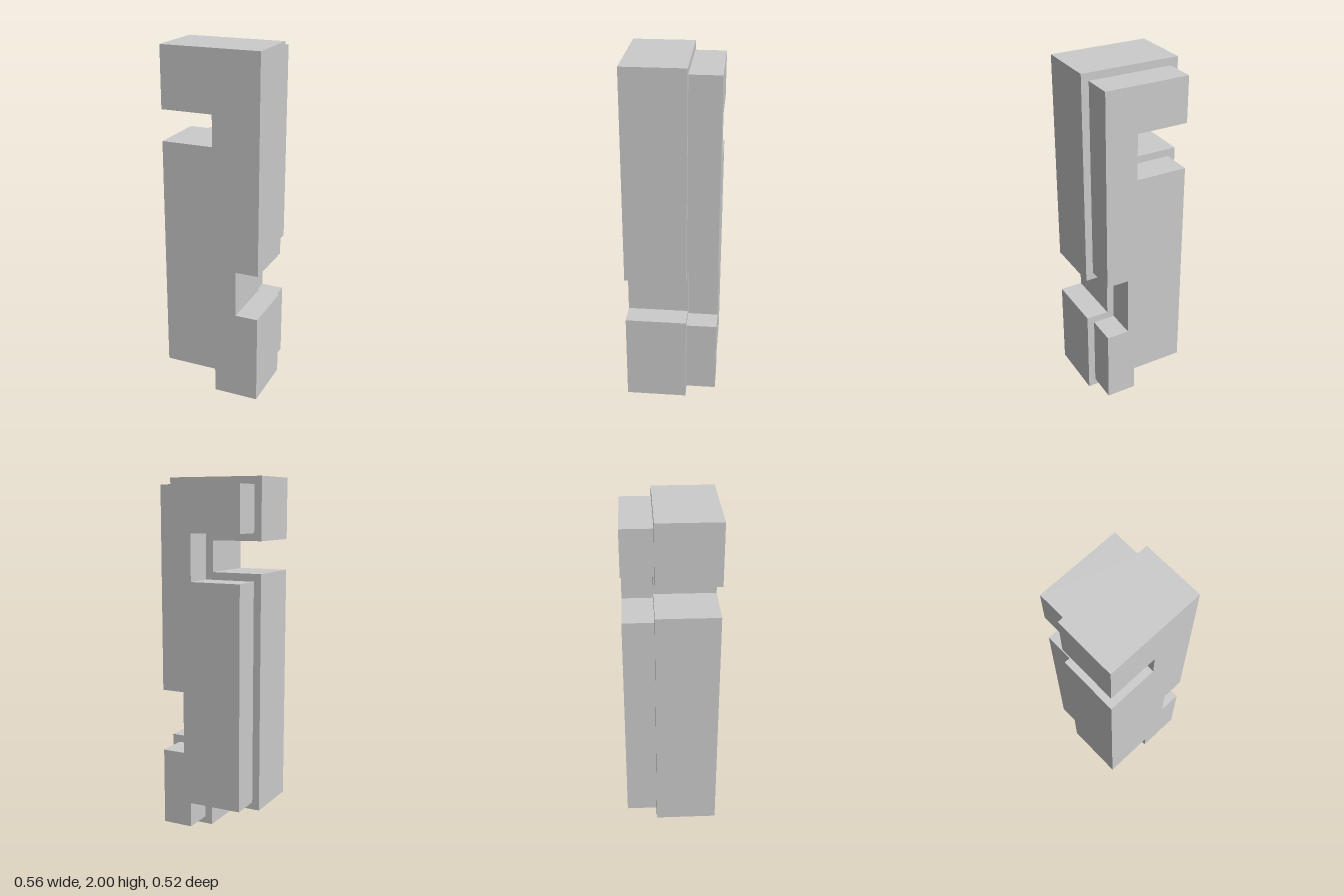
import * as THREE from 'three';

const material = new THREE.MeshStandardMaterial({ color: 0xcccccc, flatShading: true });

// Notched slab outline, drawn in by d on every edge
function outline(d) {
  const w = 0.281 - d;
  return new THREE.Shape([
    [0.022 + d, d], [w, d],
    [w, 0.517 - d], [0.15 - d, 0.517 - d], [0.15 - d, 0.783 + d], [w, 0.783 + d], // right-hand notch
    [w, 2 - d], [-w, 2 - d],
    [-w, 1.658 + d], [0.013 + d, 1.658 + d], [0.013 + d, 1.483 - d], [-w, 1.483 - d], // upper slot
    [-w, 0.14 + d], [0.022 + d, 0.14 + d], // bottom corner step
  ].map(([x, y]) => new THREE.Vector2(x, y)));
}

function slab(name, inset, zBack, zFront) {
  const geometry = new THREE.ExtrudeGeometry(outline(inset), { depth: zFront - zBack, bevelEnabled: false });
  geometry.translate(0, 0, zBack);
  const mesh = new THREE.Mesh(geometry, material);
  mesh.name = name;
  return mesh;
}

export function createModel() {
  const group = new THREE.Group();
  group.name = 'notchedBlock';
  // Full-size front slab and the smaller, inset slab behind it
  group.add(slab('frontSlab', 0, -0.087, 0.26));
  group.add(slab('backSlab', 0.0425, -0.26, -0.087));
  return group;
}
